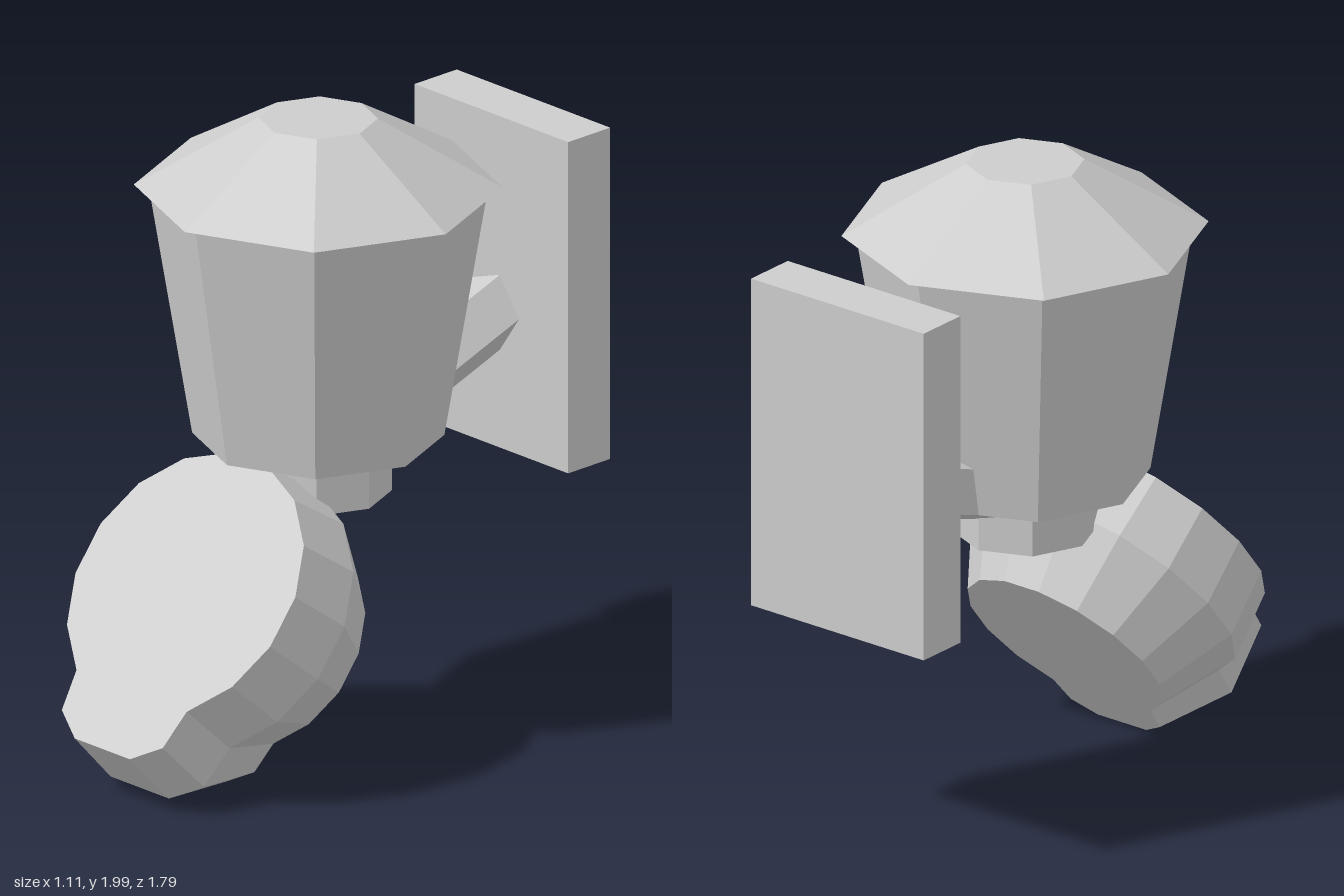
import * as THREE from 'three';

export function createModel() {
  const model = new THREE.Group();
  model.name = 'wallLantern';
  const grey = new THREE.MeshStandardMaterial({ color: 0xcccccc, flatShading: true });
  grey.name = 'plain grey';

  function add(name, geometry) {
    const mesh = new THREE.Mesh(geometry, grey);
    mesh.name = name;
    model.add(mesh);
    return mesh;
  }

  // Eight-sided tapered drum between two heights
  function drum(name, rTop, rBottom, y0, y1) {
    add(name, new THREE.CylinderGeometry(rTop, rBottom, y1 - y0, 8)).position.y = (y0 + y1) / 2;
  }
  drum('lanternCap', 0.18, 0.556, 1.78, 2);
  drum('lanternBody', 0.512, 0.38, 0.98, 1.78);
  drum('neck', 0.222, 0.222, 0.8, 0.99);

  // Wall plate
  add('wallPlate', new THREE.BoxGeometry(0.67, 1.07, 0.175)).position.set(0, 1.288, -0.808);

  // Five-sided arm sloping from the plate down to the neck
  const armStart = new THREE.Vector3(0, 1.204, -0.76);
  const armEnd = new THREE.Vector3(0, 0.997, -0.177);
  const armGeometry = new THREE.CylinderGeometry(0.12, 0.12, armStart.distanceTo(armEnd), 5);
  armGeometry.rotateY(Math.PI / 2); // one corner points to +x
  armGeometry.rotateX(Math.PI / 2);
  const arm = add('arm', armGeometry);
  arm.position.copy(armStart).add(armEnd).multiplyScalar(0.5);
  arm.lookAt(armEnd);

  // Tilted sensor head: round outline with a tab at its lower end
  const outline = [];
  for (let k = 0; k < 16; k++) {
    if (k === 7) {
      outline.push([0.22, -0.49], [0.12, -0.557], [-0.12, -0.557], [-0.22, -0.49]);
    } else if (k !== 8) {
      const a = (k + 0.5) * Math.PI / 8;
      outline.push([0.433 * Math.sin(a), 0.433 * Math.cos(a)]);
    }
  }
  const shape = new THREE.Shape(outline.map(([x, y]) => new THREE.Vector2(x, y)));
  const headGeometry = new THREE.ExtrudeGeometry(shape, { depth: 2, steps: 2, bevelEnabled: false });

  // Size and depth of the back, middle and front rings
  const rings = [[0.785, -0.462], [1.06, -0.226], [1, 0]];
  const p = headGeometry.attributes.position;
  for (let i = 0; i < p.count; i++) {
    const [scale, depth] = rings[Math.round(p.getZ(i))];
    p.setXYZ(i, p.getX(i) * scale, p.getY(i) * scale, depth);
  }
  headGeometry.computeVertexNormals();
  const head = add('sensorHead', headGeometry);
  head.rotation.x = -0.671;
  head.position.set(0, 0.639, 0.553);

  return model;
}
